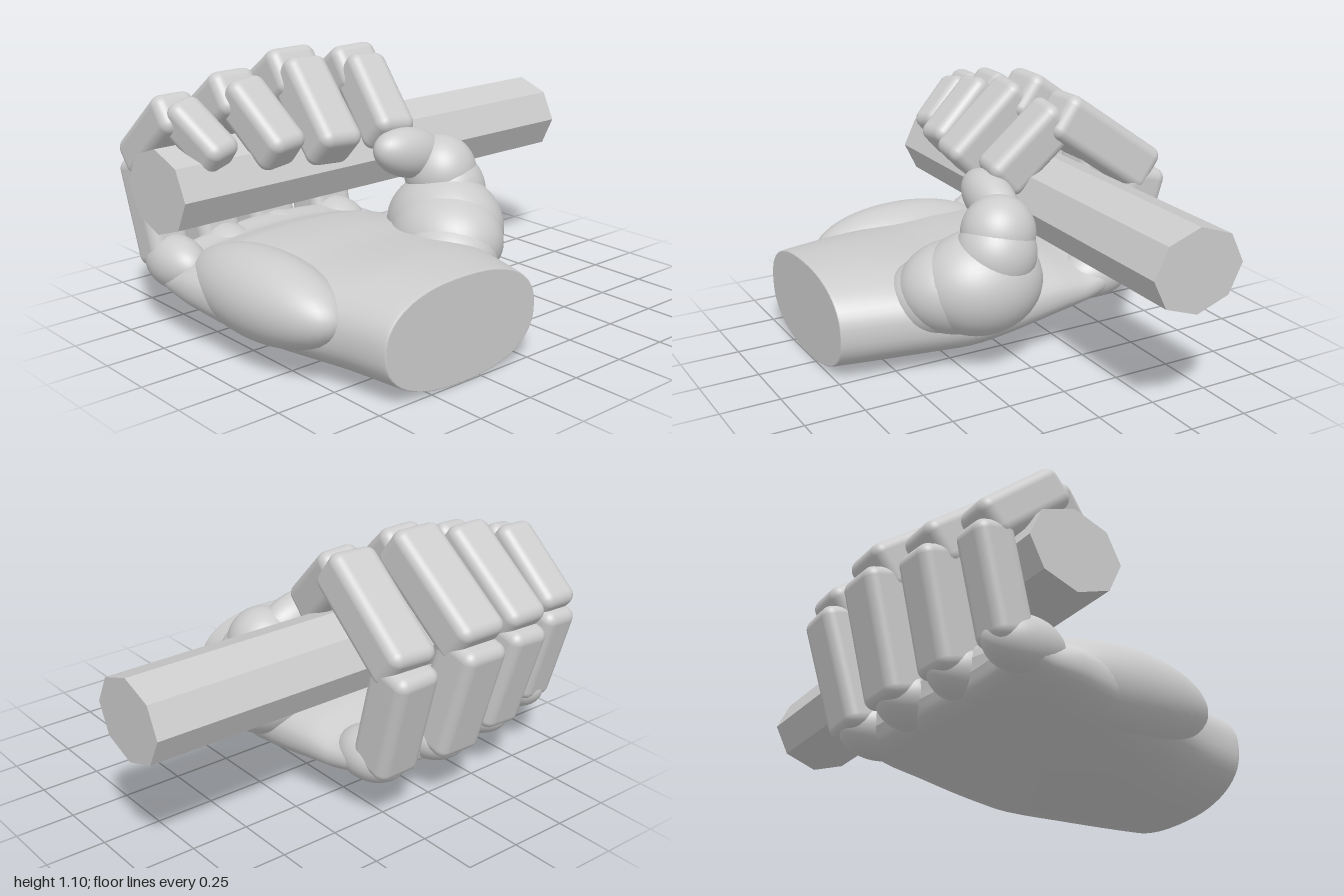
import * as THREE from 'three';
import { RoundedBoxGeometry } from 'three/addons/geometries/RoundedBoxGeometry.js';

const grey = new THREE.MeshStandardMaterial({ color: 0xcccccc });
grey.name = 'plain grey';

const V = (x, y, z) => new THREE.Vector3(x, y, z);

function add(parent, name, geometry) {
  const mesh = new THREE.Mesh(geometry, grey);
  mesh.name = name;
  parent.add(mesh);
  return mesh;
}

function ellipsoid(parent, name, center, radii, roll = 0) {
  const mesh = add(parent, name, new THREE.SphereGeometry(1, 40, 28));
  mesh.position.set(...center);
  mesh.scale.set(...radii);
  mesh.rotation.z = roll;
  return mesh;
}

// Rounded box stretched between two points, its width kept along x
function bone(parent, name, a, b, width, thick) {
  const d = b.clone().sub(a);
  const mesh = add(parent, name, new RoundedBoxGeometry(width, thick, d.length(), 5, 0.045));
  d.normalize();
  const up = d.clone().cross(V(1, 0, 0)).normalize();
  const side = up.clone().cross(d);
  mesh.quaternion.setFromRotationMatrix(new THREE.Matrix4().makeBasis(side, up, d));
  mesh.position.copy(a).add(b).multiplyScalar(0.5);
  return mesh;
}

// Wrist and palm: superellipse sections running from the wrist to the knuckles
function palmGeometry() {
  // z, xMin, xMax, yBottom, yTop
  const stations = [
    [0.75, -0.715, 0.03, 0.005, 0.415],
    [0.73, -0.725, 0.04, 0, 0.42],
    [0.5, -0.77, 0.1, 0, 0.43],
    [0.2, -0.87, 0.19, 0.015, 0.41],
    [0, -0.92, 0.2, 0.045, 0.41],
    [-0.2, -0.94, 0.18, 0.08, 0.395],
    [-0.34, -0.935, 0.16, 0.11, 0.36],
    [-0.45, -0.93, 0.14, 0.14, 0.365],
    [-0.5, -0.89, 0.1, 0.17, 0.34],
    [-0.52, -0.8, 0.02, 0.22, 0.29],
  ];
  const centers = new THREE.CatmullRomCurve3(
    stations.map(([z, l, r, b, t]) => V((l + r) / 2, (b + t) / 2, z)), false, 'catmullrom', 0.35);
  const sizes = new THREE.CatmullRomCurve3(
    stations.map(([z, l, r, b, t]) => V((r - l) / 2, (t - b) / 2, z)), false, 'catmullrom', 0.35);
  const rows = 45, n = 56, pos = [], idx = [];
  const bend = (v) => Math.sign(v) * Math.abs(v) ** 0.85;
  const ring = (t) => {
    const c = centers.getPoint(t), s = sizes.getPoint(t);
    for (let j = 0; j < n; j++) {
      const a = (j / n) * Math.PI * 2;
      const x = c.x + s.x * bend(Math.cos(a));
      // The knuckle line slants back toward the little finger
      const slant = Math.max(0, -c.z - 0.1) * Math.max(0, -x - 0.4) * 0.35;
      pos.push(x, c.y + s.y * bend(Math.sin(a)), c.z + slant);
    }
    return c;
  };
  for (let i = 0; i <= rows; i++) ring(i / rows);
  for (let i = 0; i < rows; i++) {
    for (let j = 0; j < n; j++) {
      const a = i * n + j, b = i * n + (j + 1) % n;
      idx.push(a, a + n, b, b, a + n, b + n);
    }
  }
  // End caps with their own vertices for crisp rims
  for (const t of [0, 1]) {
    const start = pos.length / 3;
    const c = ring(t);
    pos.push(c.x, c.y, c.z);
    for (let j = 0; j < n; j++) {
      const a = start + j, b = start + (j + 1) % n;
      if (t === 0) idx.push(start + n, a, b);
      else idx.push(start + n, b, a);
    }
  }
  const g = new THREE.BufferGeometry();
  g.setAttribute('position', new THREE.Float32BufferAttribute(pos, 3));
  g.setIndex(idx);
  g.computeVertexNormals();
  return g;
}

// x lists: knuckle, middle joint, upper joint, tip; segments given as [z, y] pairs
const fingers = [
  { name: 'indexFinger', x: [0.02, 0.04, 0.01, -0.04], w: 0.215, thick: 0.2,
    lower: [[-0.52, 0.24], [-0.655, 0.73]], middle: [[-0.67, 0.7], [-0.235, 1.01]], upper: [[-0.27, 1.0], [0.01, 0.73]] },
  { name: 'middleFinger', x: [-0.29, -0.305, -0.31, -0.345], w: 0.23, thick: 0.205,
    lower: [[-0.53, 0.24], [-0.66, 0.74]], middle: [[-0.68, 0.715], [-0.24, 1.035]], upper: [[-0.275, 1.025], [0.035, 0.725]] },
  { name: 'ringFinger', x: [-0.58, -0.61, -0.61, -0.565], w: 0.205, thick: 0.19,
    lower: [[-0.49, 0.25], [-0.61, 0.71]], middle: [[-0.63, 0.685], [-0.23, 0.99]], upper: [[-0.265, 0.98], [0, 0.745]] },
  { name: 'littleFinger', x: [-0.85, -0.87, -0.875, -0.8], w: 0.18, thick: 0.165,
    lower: [[-0.44, 0.27], [-0.55, 0.7]], middle: [[-0.57, 0.68], [-0.25, 0.945]], upper: [[-0.29, 0.935], [-0.075, 0.75]] },
];

export function createModel() {
  const model = new THREE.Group();
  model.name = 'grippingHand';

  // Octagonal bar
  const barGeometry = new THREE.CylinderGeometry(1, 1, 2, 8).toNonIndexed();
  barGeometry.rotateZ(Math.PI / 2);
  barGeometry.scale(1, 0.169, 0.2);
  barGeometry.computeVertexNormals();
  add(model, 'bar', barGeometry).position.set(0, 0.637, -0.244);

  // Palm with the pad below the little finger
  const palm = new THREE.Group();
  palm.name = 'palm';
  model.add(palm);
  add(palm, 'wristAndPalm', palmGeometry());
  ellipsoid(palm, 'outerPad', [-0.755, 0.265, 0.1], [0.185, 0.175, 0.43]);

  // Curled fingers, three segments each
  for (const f of fingers) {
    const finger = new THREE.Group();
    finger.name = f.name;
    model.add(finger);
    const seg = (name, ends, i, w, t) => bone(finger, name,
      V(f.x[i], ends[0][1], ends[0][0]), V(f.x[i + 1], ends[1][1], ends[1][0]), w, t);
    seg('lowerSegment', f.lower, 0, f.w * 0.96, f.thick);
    seg('middleSegment', f.middle, 1, f.w, f.thick);
    seg('upperSegment', f.upper, 2, f.w * 0.84, f.thick * 0.95);
    const [z, y] = f.lower[0];
    ellipsoid(finger, 'knuckle', [f.x[0], y + 0.02, z + 0.07], [f.w * 0.58, 0.11, 0.165]);
  }

  // Thumb folded over the bar
  const thumb = new THREE.Group();
  thumb.name = 'thumb';
  model.add(thumb);
  ellipsoid(thumb, 'thumbRoot', [0.0, 0.3, 0.3], [0.195, 0.17, 0.215]);
  ellipsoid(thumb, 'thumbMound', [0.055, 0.345, 0.24], [0.215, 0.195, 0.25]);
  ellipsoid(thumb, 'thumbBase', [0.117, 0.37, 0.165], [0.223, 0.22, 0.265]);
  ellipsoid(thumb, 'thumbNeck', [0.165, 0.5, 0.12], [0.16, 0.17, 0.17]);
  ellipsoid(thumb, 'thumbJoint', [0.148, 0.58, 0.1], [0.15, 0.155, 0.155]);
  ellipsoid(thumb, 'thumbTip', [0.01, 0.675, 0.06], [0.18, 0.105, 0.095], -0.25);

  return model;
}
